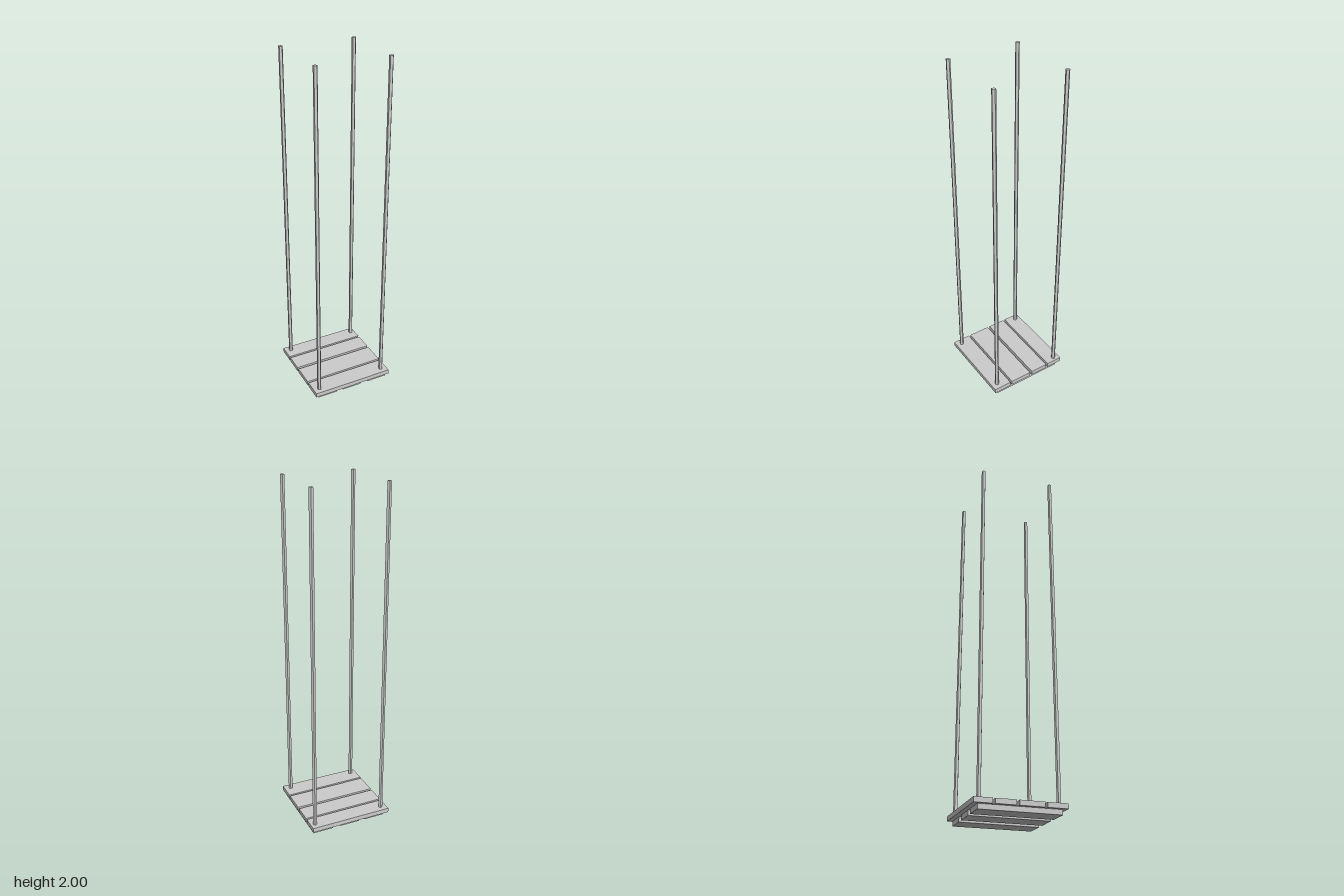
import * as THREE from 'three';

const material = new THREE.MeshStandardMaterial({ color: 0xcccccc, flatShading: true });

export function createModel() {
  const model = new THREE.Group();
  model.name = 'palletWithStakes';

  const add = (name, geometry, x, y, z) => {
    const mesh = new THREE.Mesh(geometry, material);
    mesh.name = name;
    mesh.position.set(x, y, z);
    model.add(mesh);
    return mesh;
  };

  // Box given by its lower and upper limits on each axis
  const addBoard = (name, [x0, x1], [y0, y1], [z0, z1]) =>
    add(name, new THREE.BoxGeometry(x1 - x0, y1 - y0, z1 - z0),
      (x0 + x1) / 2, (y0 + y1) / 2, (z0 + z1) / 2);

  const battenTop = 0.027, deckTop = 0.054;

  // Three battens running front to back under the deck
  for (const span of [[-0.222, -0.099], [-0.062, 0.062], [0.11, 0.233]]) {
    addBoard('batten', span, [0, battenTop], [-0.22, 0.223]);
  }

  // Four deck planks of slightly uneven width
  for (const span of [[-0.247, -0.149], [-0.137, -0.028], [-0.013, 0.121], [0.133, 0.244]]) {
    addBoard('deckPlank', [-0.246, 0.246], [battenTop, deckTop], span);
  }

  // Tall five-sided corner stakes, one edge pointing to +x
  const foot = deckTop - 0.01;
  const stake = new THREE.CylinderGeometry(0.0122, 0.0122, 2 - foot, 5);
  stake.rotateY(Math.PI / 2);
  for (const [x, z] of [[-0.21, -0.21], [0.22, -0.21], [-0.21, 0.208], [0.208, 0.208]]) {
    add('cornerStake', stake, x, (2 + foot) / 2, z);
  }

  return model;
}
